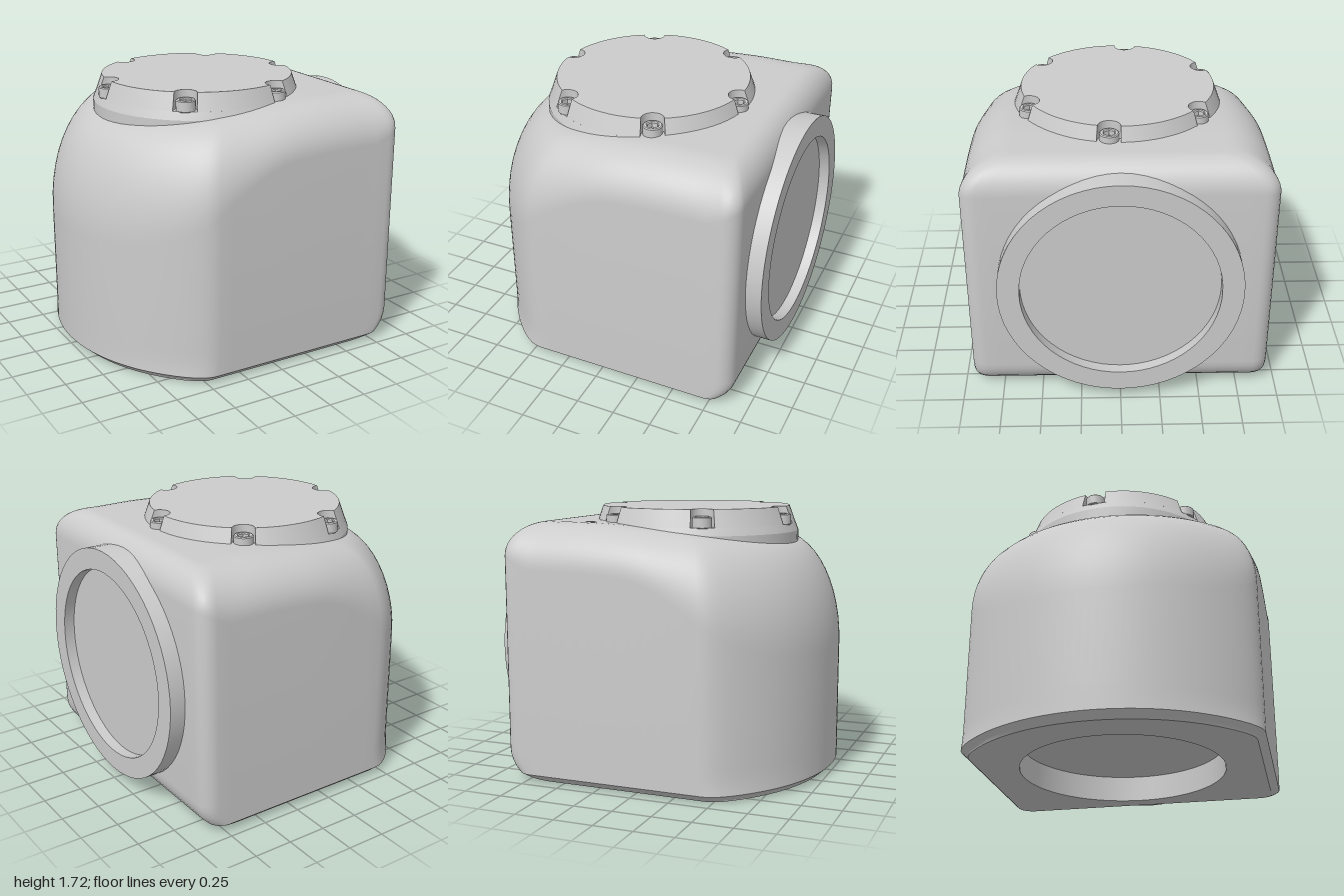
import * as THREE from 'three';
import { toCreasedNormals } from 'three/addons/utils/BufferGeometryUtils.js';

const CX = -0.045; // axis of the lid and the bottom recess
const mat = new THREE.MeshStandardMaterial({ color: 0xcccccc });

function add(parent, name, geo, crease = 0.55) {
  const mesh = new THREE.Mesh(toCreasedNormals(geo, crease), mat);
  mesh.name = name;
  parent.add(mesh);
  return mesh;
}

// Plan outline: straight right end, curved left end, mirrored in z
function planOutline() {
  const half = [];
  const a1 = Math.asin(0.76 / 1.11);
  for (let i = 0; i < 16; i++) {
    const a = (a1 * i) / 16;
    half.push([0.11 - 1.11 * Math.cos(a), 1.11 * Math.sin(a)]);
  }
  const corner = new THREE.QuadraticBezierCurve(
    new THREE.Vector2(-0.7, 0.76), new THREE.Vector2(-0.53, 0.945), new THREE.Vector2(-0.42, 0.945));
  corner.getPoints(6).forEach((p) => half.push([p.x, p.y]));
  for (let i = 1; i < 14; i++) half.push([-0.42 + (1.22 * i) / 14, 0.945]);
  for (let i = 0; i <= 6; i++) {
    const a = (Math.PI / 2) * (1 - i / 6);
    half.push([0.8 + 0.1 * Math.cos(a), 0.845 + 0.1 * Math.sin(a)]);
  }
  for (let i = 1; i <= 10; i++) half.push([0.9, 0.845 * (1 - i / 10)]);
  const back = half.slice(1, -1).reverse().map(([x, z]) => [x, -z]);
  return half.concat(back);
}

// Gently sloping top, and height of the top rounding along x
const topY = (x) => 1.63 - 0.13 * Math.pow(Math.max(0, 0.45 - x) / 1.15, 1.6);
const roundY = (x) => 0.62 - 0.34 * THREE.MathUtils.smoothstep(x, -0.85, 0.1)
  - 0.08 * THREE.MathUtils.smoothstep(x, 0.7, 0.9);

function bodyGeometry() {
  const outline = planOutline();
  const n = outline.length;
  // Outline squeezed in by separate amounts at left, right and sides
  const inset = (l, r, s, yOf) => outline.map(([x, z]) => {
    const t = (x + 1) / 1.9;
    const px = -1 + l + t * (1.9 - l - r);
    return [px, yOf(x, px), z * (1 - s / 0.945)];
  });
  const circle = (r, y) => outline.map(([x, z]) => {
    const a = Math.atan2(z, x - CX);
    return [CX + r * Math.cos(a), y, r * Math.sin(a)];
  });

  // Bottom recess wall and underside
  const rings = [circle(0.66, 0.17), circle(0.66, 0)];
  // Chamfered foot, rounded under the right end
  for (const y of [0, 0.006, 0.02, 0.045, 0.08, 0.12, 0.16, 0.2]) {
    const c = 0.05 * Math.max(0, 1 - y / 0.045);
    const r = 0.2 - Math.sqrt(y * (0.4 - y));
    rings.push(inset(c, r, c, () => y));
  }
  // Top rounding
  const steps = 12;
  for (let k = 0; k <= steps; k++) {
    const a = (Math.PI / 2) * (k / steps);
    const c = 1 - Math.cos(a);
    rings.push(inset(0.33 * c, 0.17 * c, 0.3 * c,
      (x, px) => topY(px) - roundY(x) * (1 - Math.sin(a))));
  }
  // Top surface, closing in under the lid
  const edge = rings[rings.length - 1];
  const inner = circle(0.6, 0);
  for (let k = 1; k <= 5; k++) {
    rings.push(edge.map((p, i) => {
      const x = p[0] + (inner[i][0] - p[0]) * k / 5;
      return [x, topY(x), p[2] + (inner[i][2] - p[2]) * k / 5];
    }));
  }

  const index = [];
  for (let k = 0; k < rings.length - 1; k++) {
    for (let i = 0; i < n; i++) {
      const j = (i + 1) % n;
      const a = k * n + i, b = k * n + j;
      index.push(a, b, b + n, a, b + n, a + n);
    }
  }
  const geo = new THREE.BufferGeometry();
  geo.setAttribute('position', new THREE.Float32BufferAttribute(rings.flat(2), 3));
  geo.setIndex(index);
  return geo;
}

// Tapered lid plate with round notches for the bolts
function lidGeometry(angles) {
  const R = 0.615, nr = 0.07, nc = 0.61;
  const gap = Math.atan(nr / nc);
  const pts = [];
  for (const f of angles) {
    for (let i = 0; i <= 10; i++) {
      const a = f - Math.PI / 2 - (Math.PI * i) / 10;
      pts.push(new THREE.Vector2(nc * Math.cos(f) + nr * Math.cos(a), nc * Math.sin(f) + nr * Math.sin(a)));
    }
    for (let i = 1; i < 10; i++) {
      const a = f + gap + (Math.PI / 3 - 2 * gap) * (i / 10);
      pts.push(new THREE.Vector2(R * Math.cos(a), R * Math.sin(a)));
    }
  }
  const geo = new THREE.ExtrudeGeometry(new THREE.Shape(pts), { depth: 0.11, bevelEnabled: false });
  const p = geo.attributes.position;
  for (let i = 0; i < p.count; i++) {
    const r = Math.hypot(p.getX(i), p.getY(i));
    if (p.getZ(i) < 0.01 && r > 0.608) p.setXY(i, p.getX(i) * 0.655 / r, p.getY(i) * 0.655 / r);
  }
  return geo.rotateX(-Math.PI / 2);
}

// Cap bolt with a hexagon socket
function makeBolt() {
  const bolt = new THREE.Group();
  bolt.name = 'bolt';
  const head = new THREE.Shape();
  head.absarc(0, 0, 0.06, 0, Math.PI * 2);
  const hex = [];
  for (let i = 0; i < 6; i++) {
    const a = -(i * Math.PI) / 3;
    hex.push(new THREE.Vector2(0.036 * Math.cos(a), 0.036 * Math.sin(a)));
  }
  head.holes.push(new THREE.Path(hex));
  const geo = new THREE.ExtrudeGeometry(head, { depth: 0.06, bevelEnabled: true,
    bevelSize: 0.006, bevelThickness: 0.006, bevelOffset: -0.006, bevelSegments: 1, curveSegments: 14 });
  add(bolt, 'boltHead', geo.rotateX(-Math.PI / 2));
  add(bolt, 'socketFloor', new THREE.CylinderGeometry(0.045, 0.045, 0.03, 12)).position.y = 0.015;
  return bolt;
}

export function createModel() {
  const model = new THREE.Group();
  model.name = 'housing';

  add(model, 'body', bodyGeometry());
  add(model, 'bottomRecessFloor', new THREE.CircleGeometry(0.665, 64).rotateX(Math.PI / 2))
    .position.set(CX, 0.17, 0);

  // Side flange with a shallow recess
  const profile = [[0.745, 0.8], [0.745, 1], [0.61, 1], [0.61, 0.93], [0, 0.93]]
    .map(([r, x]) => new THREE.Vector2(r, x));
  add(model, 'sideFlange', new THREE.LatheGeometry(profile, 64).rotateZ(-Math.PI / 2))
    .position.y = 0.82;

  // Lid on its base ring
  const lid = new THREE.Group();
  lid.name = 'lid';
  lid.position.x = CX;
  model.add(lid);
  add(lid, 'lidBase', new THREE.CylinderGeometry(0.655, 0.675, 0.05, 64)).position.y = 1.585;
  add(lid, 'lidSkirt', new THREE.CylinderGeometry(0.675, 0.675, 0.12, 64)).position.y = 1.5;
  const angles = Array.from({ length: 6 }, (_, i) => -0.1 + (i * Math.PI) / 3);
  add(lid, 'lidPlate', lidGeometry(angles)).position.y = 1.61;
  for (const a of angles) {
    const bolt = makeBolt();
    bolt.position.set(0.608 * Math.cos(a), 1.61, -0.608 * Math.sin(a));
    lid.add(bolt);
  }
  return model;
}
